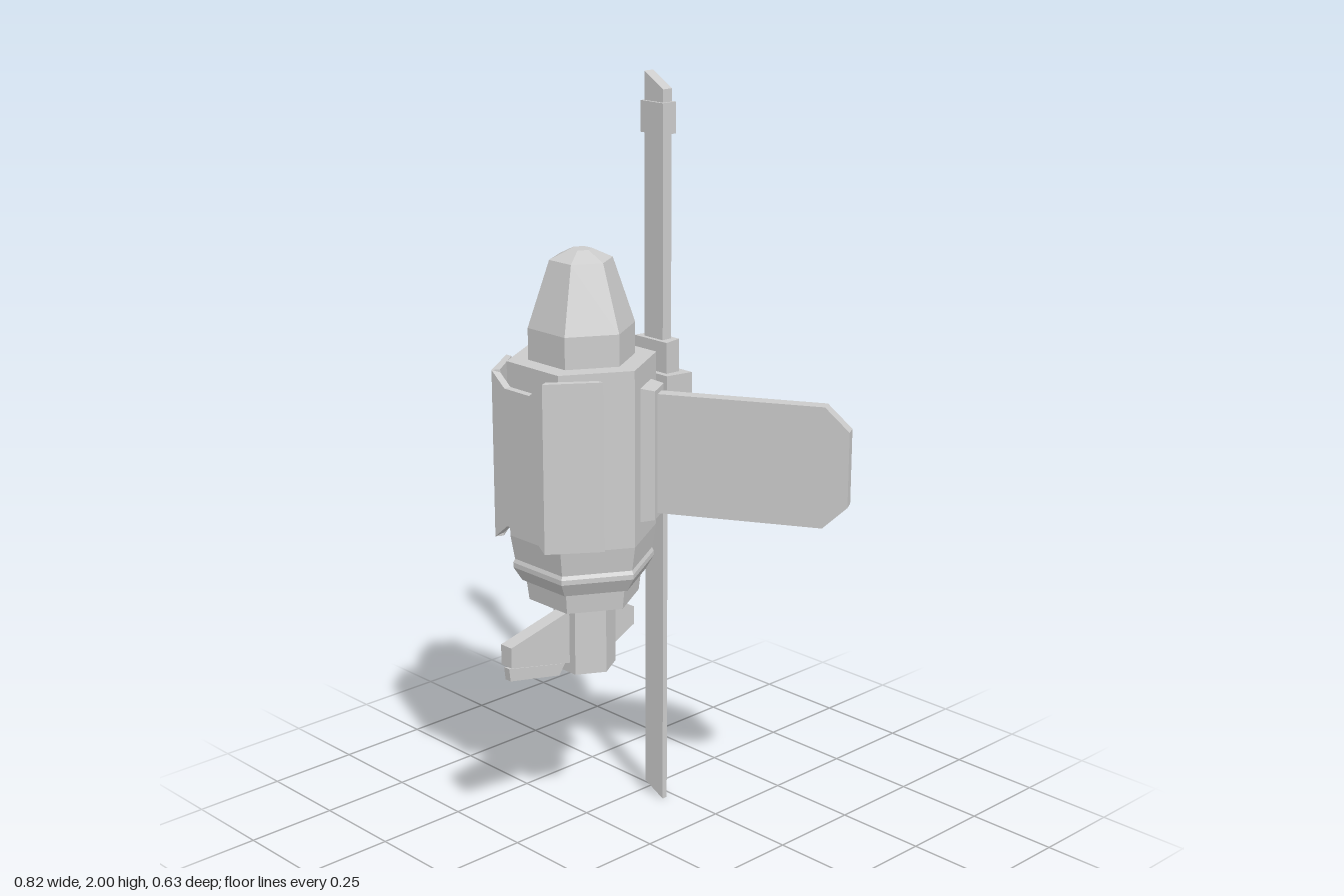
import * as THREE from 'three';

const mat = new THREE.MeshStandardMaterial({ color: 0xcccccc, flatShading: true });

function add(parent, name, geometry, x = 0, y = 0, z = 0) {
  const mesh = new THREE.Mesh(geometry, mat);
  mesh.name = name;
  mesh.position.set(x, y, z);
  parent.add(mesh);
  return mesh;
}

const shapeOf = (pts) => new THREE.Shape(pts.map((p) => new THREE.Vector2(p[0], p[1])));

// Outline in x/y, extruded along z and centred on it
function slab(pts, depth) {
  return new THREE.ExtrudeGeometry(shapeOf(pts), { depth, bevelEnabled: false }).translate(0, 0, -depth / 2);
}

// Plan outline in x/z, extruded upwards from y0 to y1
function prism(pts, y0, y1) {
  return new THREE.ExtrudeGeometry(shapeOf(pts.map(([x, z]) => [x, -z])), { depth: y1 - y0, bevelEnabled: false })
    .rotateX(-Math.PI / 2).translate(0, y0, 0);
}

// Box growing along +z from z0 to z1, tapering from w0 x h0 to w1 x h1
function taper(w0, h0, w1, h1, z0, z1) {
  const g = new THREE.BoxGeometry(1, 1, 1);
  const p = g.attributes.position;
  for (let i = 0; i < p.count; i++) {
    const far = p.getZ(i) > 0;
    p.setXYZ(i, p.getX(i) * (far ? w1 : w0), p.getY(i) * (far ? h1 : h0), far ? z1 : z0);
  }
  g.computeVertexNormals();
  return g;
}

// Six-sided turned form with corners on the x axis, profile from bottom to top
function hex(profile) {
  const g = new THREE.LatheGeometry(profile.map((p) => new THREE.Vector2(p[0], p[1])), 6, Math.PI / 6);
  return g;
}

export function createModel() {
  const root = new THREE.Group();
  const m = new THREE.Group();
  m.name = 'station';
  m.position.set(-0.2, 0, 0.045);
  root.add(m);

  // Central hull
  add(m, 'hull', hex([[0, 0.67], [0.146, 0.67], [0.153, 0.725], [0.164, 0.725], [0.187, 0.762],
    [0.187, 0.775], [0.182, 0.785], [0.193, 0.85], [0.193, 1.313], [0, 1.313]]));
  add(m, 'nose', hex([[0.138, 1.31], [0.138, 1.395], [0.081, 1.565], [0.028, 1.59], [0, 1.59]]));
  add(m, 'neck', hex([[0, 0.475], [0.083, 0.475], [0.083, 0.68]]));

  // Front shield: notched centre plate, swept side plates and bracket
  add(m, 'shieldCentre', slab([[-0.095, 0.86], [-0.047, 0.9], [0.047, 0.9], [0.095, 0.86],
    [0.095, 1.3], [0.047, 1.262], [-0.047, 1.262], [-0.095, 1.3]], 0.02), 0, 0, 0.208);
  for (const s of [-1, 1]) {
    add(m, s > 0 ? 'shieldLeft' : 'shieldRight',
      prism([[s * 0.095, 0.218], [s * 0.183, 0.095], [s * 0.163, 0.095], [s * 0.085, 0.198]], 0.86, 1.3));
  }
  add(m, 'shieldBracket', prism([[-0.02, 0.165], [0.02, 0.165], [0.047, 0.199], [-0.047, 0.199]], 0.93, 1.23));

  // Side panel on its angled mount
  const right = new THREE.Group();
  right.name = 'panelMount';
  right.rotation.y = THREE.MathUtils.degToRad(120);
  m.add(right);
  add(right, 'mountBlock', taper(0.1, 0.355, 0.08, 0.34, 0.16, 0.203), 0, 1.078, 0);
  const panel = add(m, 'panel', slab([[0.19, 0.92], [0.63, 0.92], [0.693, 0.98], [0.693, 1.175], [0.63, 1.235], [0.19, 1.235]], 0.036));
  panel.rotation.y = Math.PI / 6;

  // Raised cover on the opposite rear face
  const left = new THREE.Group();
  left.name = 'sideCover';
  left.rotation.y = THREE.MathUtils.degToRad(-120);
  m.add(left);
  add(left, 'coverPlate', taper(0.19, 0.46, 0.15, 0.45, 0.16, 0.192), 0, 1.083, 0);
  add(left, 'coverHatch', taper(0.1, 0.36, 0.07, 0.31, 0.19, 0.226), 0, 1.078, 0);

  // Rear housing for the mast
  const rear = new THREE.Group();
  rear.name = 'mastHousing';
  rear.rotation.y = Math.PI;
  rear.position.y = 1.08;
  m.add(rear);
  add(rear, 'housingArm', new THREE.BoxGeometry(0.046, 0.24, 0.07), 0, 0, 0.192);
  add(rear, 'housingBlock', taper(0.167, 0.31, 0.145, 0.29, 0.218, 0.32));
  add(rear, 'housingHatch', taper(0.088, 0.24, 0.068, 0.19, 0.32, 0.35));

  // Mast with collars and slanted tips
  const mz = -0.267;
  add(m, 'upperCollar', taper(0.12, 0.1, 0.1, 0.1, -0.0275, 0.0275).rotateY(Math.PI), 0, 1.265, mz);
  add(m, 'lowerCollar', new THREE.BoxGeometry(0.09, 0.06, 0.038), 0, 0.92, mz);
  add(m, 'tipCollar', new THREE.BoxGeometry(0.08, 0.08, 0.046), 0, 1.887, mz);
  add(m, 'upperMast', slab([[-0.035, 1.25], [0.033, 1.25], [0.033, 1.96], [-0.035, 2]], 0.03), 0, 0, mz);
  add(m, 'lowerMast', slab([[-0.035, 0.033], [0.033, 0], [0.033, 0.95], [-0.035, 0.95]], 0.016), 0, 0, mz + 0.004);

  // Bottom fins, outlined in z/y
  const fin = (name, pts, width) => {
    const mesh = add(m, name, slab(pts, width));
    mesh.rotation.y = -Math.PI / 2;
  };
  fin('frontFin', [[0.06, 0.5], [0.27, 0.545], [0.27, 0.6], [0.06, 0.65]], 0.04);
  fin('finRail', [[0.1, 0.472], [0.266, 0.505], [0.27, 0.54], [0.08, 0.5]], 0.02);
  fin('rearFin', [[-0.05, 0.65], [-0.16, 0.597], [-0.16, 0.548], [-0.05, 0.495]], 0.04);

  return root;
}
